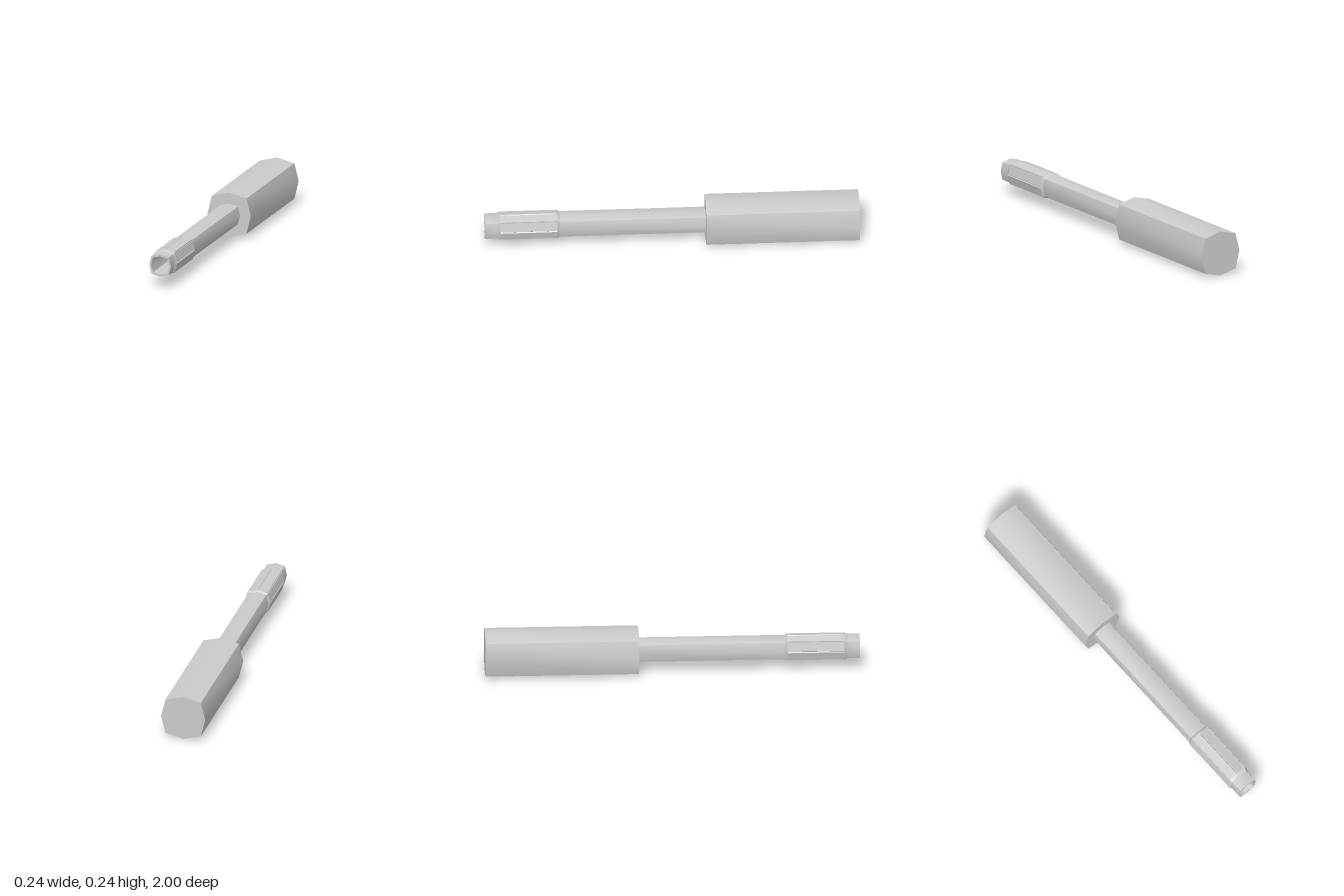
import * as THREE from 'three';
import { toCreasedNormals } from 'three/addons/utils/BufferGeometryUtils.js';

const CENTRE_Y = 0.122;
const DIAGONAL = 0.8; // diagonal corners sit at (0.8r, 0.8r): a square with bowed sides

// Bowed-square section of radius r; dip cuts a small V groove into each corner
function section(r, dip = null) {
  const corners = [];
  for (let i = 0; i < 8; i++) {
    const a = (i * Math.PI) / 4;
    const len = r * (i % 2 ? DIAGONAL * Math.SQRT2 : 1);
    corners.push(new THREE.Vector2(Math.cos(a) * len, Math.sin(a) * len));
  }
  if (dip === null) return corners;
  return corners.flatMap((c, i) => [
    c.clone().lerp(corners[(i + 7) % 8], 0.07),
    c.clone().multiplyScalar(1 - dip),
    c.clone().lerp(corners[(i + 1) % 8], 0.07),
  ]);
}

// Joins a row of sections [radius, z, dip] into a surface along z
function loft(name, rings) {
  const loops = rings.map(([r, z, dip]) => section(r, dip).map((p) => new THREE.Vector3(p.x, p.y, z)));
  const pos = [];
  const tri = (...pts) => {
    if (new THREE.Triangle(...pts).getArea() < 1e-9) return;
    // enlarged so that creasing does not merge close vertices
    pts.forEach((p) => pos.push(p.x * 1000, p.y * 1000, p.z * 1000));
  };
  for (let i = 0; i + 1 < loops.length; i++) {
    const a = loops[i], b = loops[i + 1], n = a.length;
    for (let j = 0; j < n; j++) {
      const k = (j + 1) % n;
      tri(a[j], a[k], b[k]);
      tri(a[j], b[k], b[j]);
    }
  }
  let geo = new THREE.BufferGeometry();
  geo.setAttribute('position', new THREE.Float32BufferAttribute(pos, 3));
  geo = toCreasedNormals(geo, 0.55);
  geo.scale(0.001, 0.001, 0.001);
  const mesh = new THREE.Mesh(geo, new THREE.MeshStandardMaterial({ color: 0xcccccc }));
  mesh.name = name;
  mesh.position.y = CENTRE_Y;
  return mesh;
}

export function createModel() {
  const group = new THREE.Group();
  group.name = 'handTool';

  // Thick closed handle at the back
  group.add(loft('handle', [[0, -1], [0.1215, -1], [0.1215, -0.18], [0, -0.18]]));

  // Slim shaft
  group.add(loft('shaft', [[0.061, -0.18], [0.061, 0.6]]));

  // Raised sleeve with chamfered ends and a groove along every corner
  group.add(loft('sleeveRearChamfer', [[0.061, 0.6], [0.069, 0.612]]));
  group.add(loft('groovedSleeve', [
    [0.069, 0.612, 0], [0.069, 0.616, 0.08], [0.069, 0.914, 0.08], [0.069, 0.918, 0],
  ]));
  group.add(loft('sleeveFrontChamfer', [[0.069, 0.918], [0.061, 0.935]]));

  // Hollow tip: outer wall, rim, bore and bore floor
  group.add(loft('hollowTip', [
    [0.061, 0.935], [0.061, 1], [0.05, 1], [0.05, 0.65], [0, 0.65],
  ]));

  return group;
}
